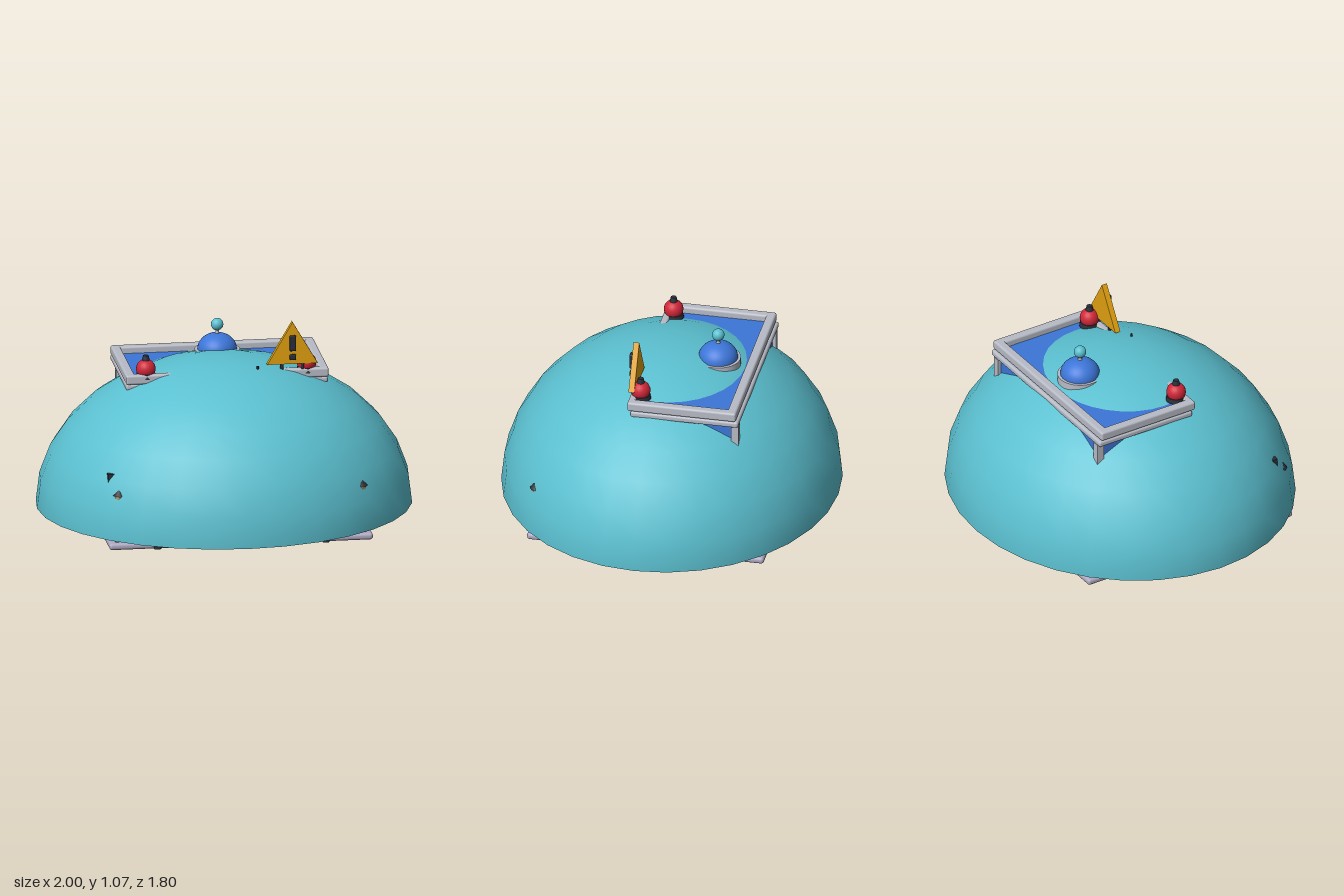
import * as THREE from 'three';
import { RoundedBoxGeometry } from 'three/addons/geometries/RoundedBoxGeometry.js';

const mat = (name, color) => Object.assign(new THREE.MeshStandardMaterial({ color }), { name });

export function createModel() {
  const teal = mat('teal', 0x5bc0d0), blue = mat('blue', 0x3c76d8), grey = mat('light grey', 0xb8bcc6);
  const stone = mat('lavender stone', 0xb0a9c2), red = mat('red', 0xd02638), yellow = mat('amber', 0xe0a010);
  const dark = mat('charcoal', 0x2b2f39), tan = mat('tan', 0xd9b06a), green = mat('green', 0x44aa44);
  const pink = mat('pink', 0xd98ab4);
  teal.side = THREE.DoubleSide;

  const model = new THREE.Group();
  const add = (name, geo, m, x = 0, y = 0, z = 0, parent = model) => {
    const mesh = new THREE.Mesh(geo, m);
    mesh.name = name;
    mesh.position.set(x, y, z);
    parent.add(mesh);
    return mesh;
  };
  const box = (w, h, d) => new THREE.BoxGeometry(w, h, d);
  const soft = (w, h, d, r) => new RoundedBoxGeometry(w, h, d, 3, r);
  const cyl = (a, b, h, n = 16) => new THREE.CylinderGeometry(a, b, h, n);
  const ball = (r) => new THREE.SphereGeometry(r, 20, 14);
  const group = (name, x, y, z) => {
    const g = new THREE.Group();
    g.name = name;
    g.position.set(x, y, z);
    model.add(g);
    return g;
  };

  // Base plates
  add('basePlate', soft(1.41, 0.037, 1.28, 0.016), stone, 0, 0.0215, 0);
  add('groundSlab', box(1.34, 0.02, 1.22), stone, 0, 0.047, 0);

  // Covering dome, a squashed half sphere open below
  const domeGeo = new THREE.SphereGeometry(1, 32, 8, 0, Math.PI * 2, 0, Math.PI / 2);
  domeGeo.scale(1, 0.8, 0.9);
  add('dome', domeGeo, teal, 0, 0.06, 0);

  // Building under the dome
  add('buildingWalls', box(1, 0.72, 0.54), blue, 0, 0.415, -0.175);
  add('frontWing', box(0.8, 0.38, 0.2), blue, 0, 0.245, 0.18);
  add('frontWingRoof', soft(0.86, 0.04, 0.24, 0.015), grey, 0, 0.455, 0.18);
  add('door', box(0.16, 0.24, 0.008), dark, 0, 0.177, 0.284);
  add('doorStep', box(0.3, 0.03, 0.1), grey, 0, 0.07, 0.33);
  for (const s of [-1, 1]) {
    for (const z of [-0.445, 0.09]) add('cornerPost', box(0.04, 0.67, 0.04), grey, s * 0.495, 0.39, z);
    for (const x of [0.17, 0.33]) add('portalColumn', cyl(0.02, 0.02, 0.38), grey, s * x, 0.245, 0.29);
  }

  // Windows: frame, pane and glazing bars
  const addWindow = (x, y, z, turn) => {
    const g = group('window', x, y, z);
    g.rotation.y = turn;
    add('windowFrame', box(0.16, 0.18, 0.012), grey, 0, 0, 0.004, g);
    add('windowPane', box(0.13, 0.15, 0.008), tan, 0, 0, 0.01, g);
    add('glazingBar', box(0.01, 0.15, 0.006), grey, 0, 0, 0.014, g);
    add('glazingBar', box(0.13, 0.01, 0.006), grey, 0, 0, 0.014, g);
  };
  for (const y of [0.25, 0.52]) {
    for (const x of [-0.29, -0.02, 0.25]) addWindow(x, y, -0.446, Math.PI);
    for (const z of [-0.3, -0.07]) {
      addWindow(0.501, y, z, Math.PI / 2);
      addWindow(-0.501, y, z, -Math.PI / 2);
    }
  }
  for (const x of [-0.25, 0.25]) addWindow(x, 0.26, 0.281, 0);
  for (const x of [-0.29, 0, 0.29]) addWindow(x, 0.59, 0.096, 0);

  // Roof parapet: a lower moulding and a thicker rail
  const ring = (name, halfW, back, front, y, h, t) => {
    for (const s of [-1, 1]) add(name + 'Side', soft(t, h, front - back, 0.012), grey, s * (halfW - t / 2), y, (front + back) / 2);
    add(name + 'Back', soft(halfW * 2, h, t, 0.012), grey, 0, y, back + t / 2);
    add(name + 'Front', soft(halfW * 2, h, 0.04, 0.012), grey, 0, y, front - 0.02);
  };
  ring('moulding', 0.54, -0.467, 0.115, 0.741, 0.034, 0.05);
  ring('parapet', 0.542, -0.455, 0.132, 0.786, 0.052, 0.05);

  // Roof cupola
  add('cupolaDrum', cyl(0.12, 0.12, 0.06, 32), grey, 0, 0.798, -0.25);
  const cap = new THREE.SphereGeometry(0.105, 28, 10, 0, Math.PI * 2, 0, Math.PI / 2);
  cap.scale(1, 0.83, 1);
  add('cupolaCap', cap, blue, 0, 0.828, -0.25);
  add('cupolaNeck', cyl(0.008, 0.012, 0.04), grey, 0, 0.925, -0.25);
  add('cupolaBall', ball(0.033), teal, 0, 0.963, -0.25);
  add('antenna', cyl(0.006, 0.006, 0.08, 8), dark, 0.155, 0.808, 0.17);

  // Alarm lamps on the front corners
  for (const s of [-1, 1]) {
    const g = group('alarmLamp', s * 0.43, 0.833, 0.08);
    add('lampFoot', cyl(0.05, 0.055, 0.025), dark, 0, -0.035, 0, g);
    add('lampBulb', ball(0.052), red, 0, 0, 0, g);
    add('lampCap', cyl(0.015, 0.022, 0.03), dark, 0, 0.058, 0, g);
  }

  // Warning sign with exclamation mark
  const tri = new THREE.Shape([[-0.135, 0], [0.135, 0], [0, 0.23]].map(([x, y]) => new THREE.Vector2(x, y)));
  const sign = group('warningSign', 0.347, 0.842, 0.105);
  add('signBoard', new THREE.ExtrudeGeometry(tri, { depth: 0.031, bevelEnabled: false }), yellow, 0, 0, 0, sign);
  add('markBar', soft(0.034, 0.085, 0.02, 0.006), dark, 0, 0.117, 0.041, sign);
  add('markDot', soft(0.034, 0.03, 0.02, 0.006), dark, 0, 0.04, 0.041, sign);
  for (const s of [-1, 1]) add('signLeg', cyl(0.009, 0.009, 0.06, 8), dark, s * 0.055, -0.025, 0.015, sign);

  // Front hazard barrier and bollards
  for (let i = 0; i < 46; i++) {
    add('hazardStripe', box(0.02, 0.04, 0.02), i % 2 ? yellow : dark, -0.45 + i * 0.02, 0.065, 0.615);
  }
  for (const x of [-0.45, -0.2, 0.2, 0.45]) {
    const inner = Math.abs(x) < 0.3;
    add('bollardFoot', cyl(0.02, 0.02, 0.016), dark, x, 0.016, 0.65);
    add('bollardPost', cyl(0.015, 0.015, 0.03), inner ? yellow : stone, x, 0.038, 0.65);
    add('bollardTop', cyl(0.02, 0.02, 0.014), dark, x, 0.056, 0.65);
  }

  // Back fence
  add('fenceRail', box(1.33, 0.022, 0.02), red, 0, 0.068, -0.6);

  // Round trees along the sides and back
  const tree = (x, z, y, r, m) => {
    add('treeTrunk', cyl(0.014, 0.02, y - 0.05, 8), dark, x, (y + 0.05) / 2, z);
    add('treeCrown', ball(r), m, x, y, z);
    add('treeTop', ball(r * 0.65), m, x + r * 0.25, y + r * 0.75, z);
  };
  for (const s of [-1, 1]) {
    tree(s * 0.58, 0.36, 0.26, 0.085, green);
    tree(s * 0.58, -0.01, 0.25, 0.085, pink);
    tree(s * 0.58, -0.34, 0.22, 0.08, green);
  }
  tree(0.26, -0.54, 0.2, 0.07, green);
  tree(-0.32, -0.54, 0.21, 0.07, green);
  for (const [x, z] of [[-0.55, -0.53], [-0.61, -0.51]]) add('bush', ball(0.055), green, x, 0.14, z);

  // Conifers and street lamps at the front corners
  for (const s of [-1, 1]) {
    add('coniferTrunk', cyl(0.012, 0.012, 0.06, 8), dark, s * 0.6, 0.085, 0.55);
    for (let i = 0; i < 3; i++) {
      add('coniferTier', new THREE.ConeGeometry(0.065 - i * 0.014, 0.08, 16), green, s * 0.6, 0.14 + i * 0.045, 0.55);
    }
    add('streetLampPost', cyl(0.01, 0.012, 0.21, 10), dark, s * 0.645, 0.155, 0.6);
    add('streetLampGlass', cyl(0.03, 0.022, 0.04, 12), tan, s * 0.645, 0.275, 0.6);
    add('streetLampCap', cyl(0.012, 0.036, 0.03, 12), dark, s * 0.645, 0.31, 0.598);
  }

  // Dark finger post at the right front
  add('fingerPost', cyl(0.01, 0.01, 0.32, 8), dark, -0.675, 0.21, 0.53);
  add('fingerBoard', box(0.035, 0.055, 0.03), dark, -0.683, 0.37, 0.53);

  return model;
}
